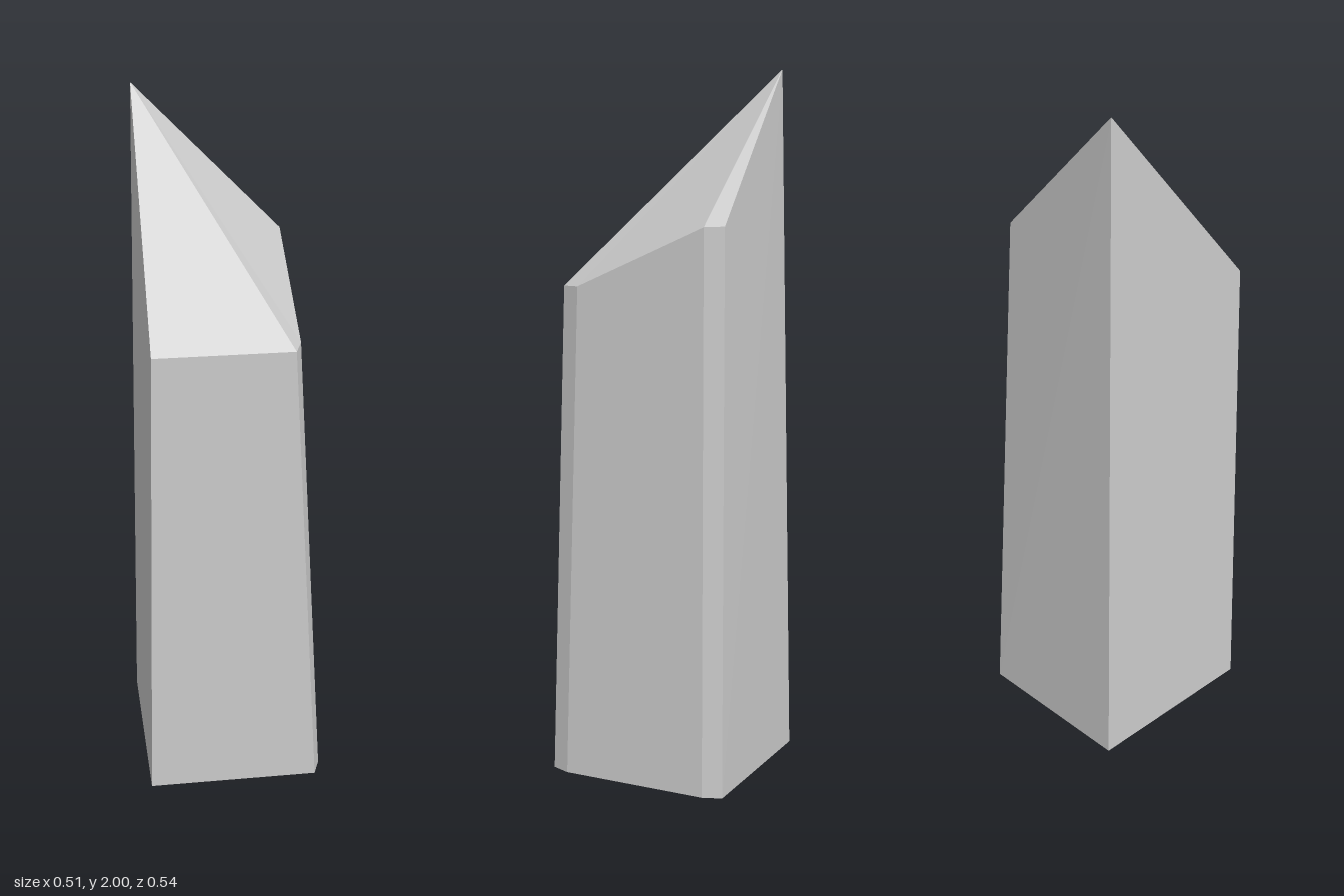
import * as THREE from 'three';

// Cross-sections run counter-clockwise seen from above, starting at the front -x corner.
const base = [
  [-0.257, 0, 0.268], [0.235, 0, 0.268], [0.255, 0, 0.215],
  [0.255, 0, -0.217], [0.235, 0, -0.27], [-0.257, 0, -0.27],
];
const rim = [
  [-0.232, 1.405, 0.263], [0.155, 1.403, 0.263], [0.175, 1.405, 0.21],
  [0.175, 1.583, -0.18], [0.155, 1.585, -0.233], [-0.232, 2, -0.233],
];

function surface(name, triangles, material) {
  const geometry = new THREE.BufferGeometry();
  geometry.setAttribute('position', new THREE.Float32BufferAttribute(triangles.flat(2), 3));
  geometry.computeVertexNormals();
  const mesh = new THREE.Mesh(geometry, material);
  mesh.name = name;
  return mesh;
}

export function createModel() {
  const group = new THREE.Group();
  group.name = 'crystalShard';
  const material = new THREE.MeshStandardMaterial({
    color: 0xcccccc, flatShading: true, side: THREE.DoubleSide,
  });

  // Tapered walls, open underneath
  const walls = [];
  for (let i = 0; i < base.length; i++) {
    const j = (i + 1) % base.length;
    walls.push([base[i], base[j], rim[j]], [base[i], rim[j], rim[i]]);
  }
  group.add(surface('shardWalls', walls, material));

  // Slanted tip facets fanning out from the peak
  const peak = rim[5];
  const facets = [];
  for (let i = 0; i < 4; i++) facets.push([peak, rim[i], rim[i + 1]]);
  group.add(surface('tipFacets', facets, material));

  return group;
}
